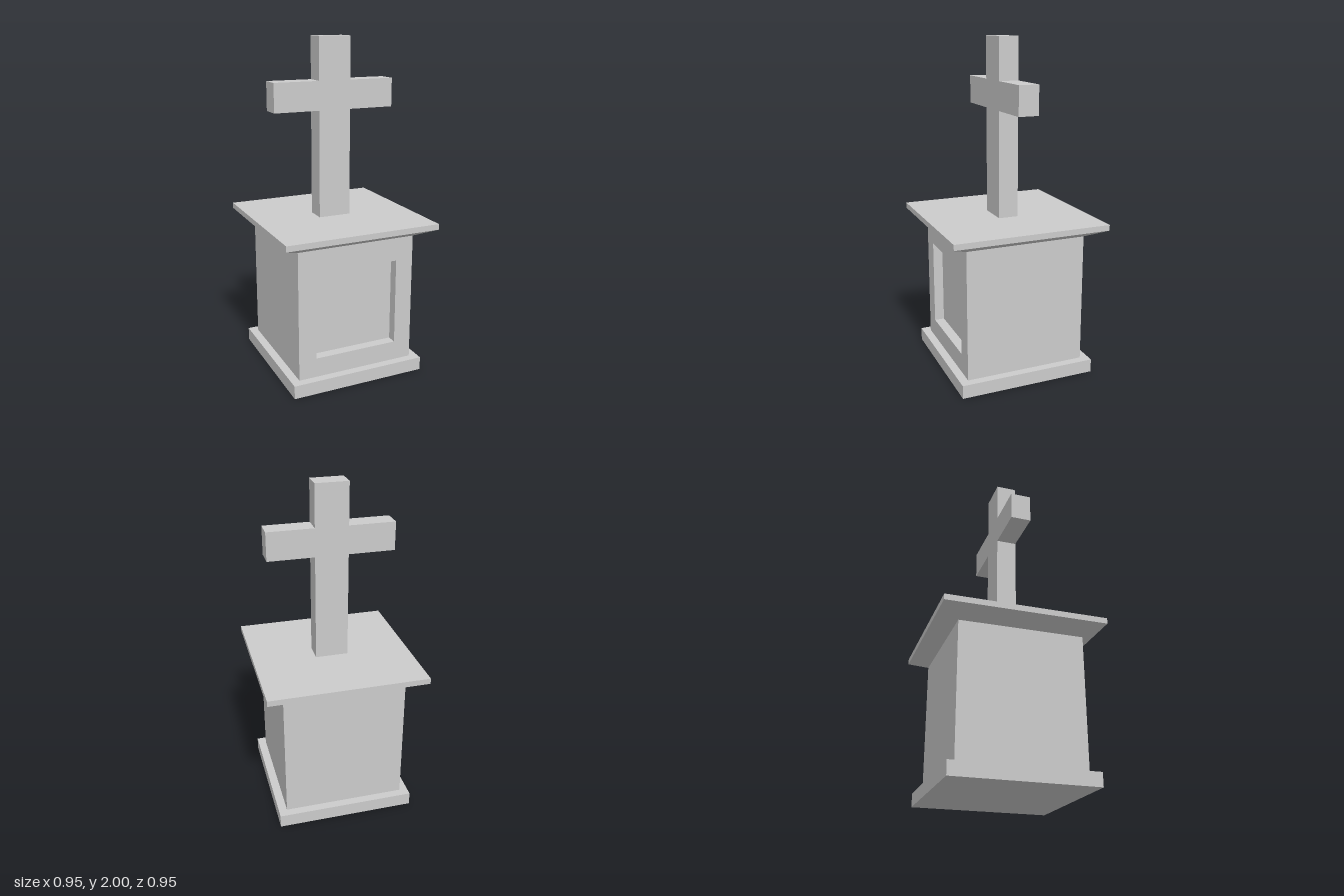
import * as THREE from 'three';

const material = new THREE.MeshStandardMaterial({ color: 0xcccccc, flatShading: true });

function addPart(group, name, geometry, x = 0, y = 0, z = 0) {
  const mesh = new THREE.Mesh(geometry, material);
  mesh.name = name;
  mesh.position.set(x, y, z);
  group.add(mesh);
  return mesh;
}

const toShape = (pairs) => new THREE.Shape(pairs.map(([x, y]) => new THREE.Vector2(x, y)));
const rectangle = (w, y0, y1) => [[-w, y0], [w, y0], [w, y1], [-w, y1]];

export function createModel() {
  const group = new THREE.Group();
  group.name = 'graveMonument';

  // Base slab
  addPart(group, 'baseSlab', new THREE.BoxGeometry(0.83, 0.08, 0.83), 0, 0.04, 0);

  // Pedestal: solid block with a front frame that leaves a recessed panel
  const half = 0.365, bottom = 0.08, top = 0.86, recess = 0.06;
  const depth = 2 * half - recess;
  const pedestal = new THREE.Group();
  pedestal.name = 'pedestal';
  addPart(pedestal, 'pedestalBlock', new THREE.BoxGeometry(2 * half, top - bottom, depth),
    0, (top + bottom) / 2, -recess / 2);
  const frame = toShape(rectangle(half, bottom, top));
  frame.holes.push(toShape(rectangle(0.257, 0.197, 0.72)));
  addPart(pedestal, 'panelFrame',
    new THREE.ExtrudeGeometry(frame, { depth: recess, bevelEnabled: false }), 0, 0, half - recess);
  group.add(pedestal);

  // Cap: four-sided flare under a thin square slab
  const capProfile = [[0, top], [half, top], [0.473, 0.913], [0.473, 0.947], [0, 0.947]]
    .map(([r, y]) => new THREE.Vector2(r * Math.SQRT2, y));
  addPart(group, 'cap', new THREE.LatheGeometry(capProfile, 4, Math.PI / 4));

  // Cross: one outline, mirrored about the middle
  const side = [[0.098, 0.947], [0.098, 1.583], [0.373, 1.583], [0.373, 1.752], [0.098, 1.752], [0.098, 2]];
  const outline = [...side, ...side.map(([x, y]) => [-x, y]).reverse()];
  addPart(group, 'cross',
    new THREE.ExtrudeGeometry(toShape(outline), { depth: 0.12, bevelEnabled: false }), 0, 0, -0.06);

  return group;
}
